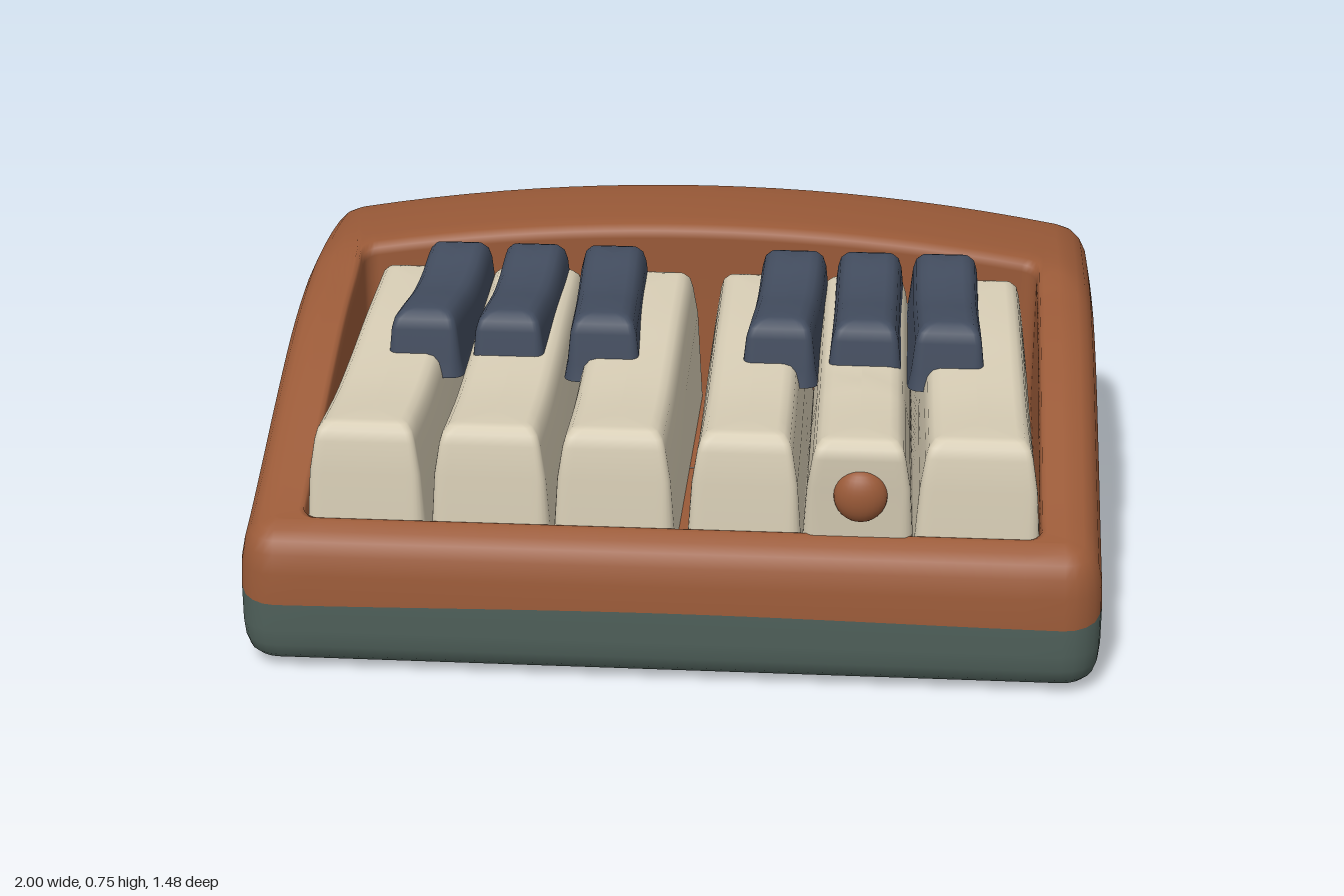
import * as THREE from 'three';

const mat = (name, color) => {
  const m = new THREE.MeshStandardMaterial({ color });
  m.name = name;
  return m;
};

// Smooth curve through [z, y] points listed with falling z
function profile(pts) {
  const slope = (i) => {
    const a = pts[Math.max(i - 1, 0)], b = pts[Math.min(i + 1, pts.length - 1)];
    return (b[1] - a[1]) / (b[0] - a[0]);
  };
  return (z) => {
    z = Math.min(Math.max(z, pts[pts.length - 1][0]), pts[0][0]);
    let i = 0;
    while (i < pts.length - 2 && z < pts[i + 1][0]) i++;
    const [za, ya] = pts[i], [zb, yb] = pts[i + 1];
    const h = zb - za, t = (z - za) / h, t2 = t * t, t3 = t2 * t;
    return (2 * t3 - 3 * t2 + 1) * ya + (t3 - 2 * t2 + t) * h * slope(i)
      + (3 * t2 - 2 * t3) * yb + (t3 - t2) * h * slope(i + 1);
  };
}

// Rounded rectangle outline, anticlockwise from above, as [x, z] pairs
function outline({ x0, x1, z0, z1, r }, inset = 0, side = 20, corner = 5) {
  x0 += inset; x1 -= inset; z0 += inset; z1 -= inset;
  r = Math.max(0, Math.min(Math.max(r - inset, 0.015), (x1 - x0) / 2, (z1 - z0) / 2));
  const centres = [[x1 - r, z0 + r], [x0 + r, z0 + r], [x0 + r, z1 - r], [x1 - r, z1 - r]];
  const pts = [];
  centres.forEach(([cx, cz], k) => {
    for (let j = 0; j <= corner; j++) {
      const a = (k + j / corner) * Math.PI / 2;
      pts.push([cx + r * Math.cos(a), cz - r * Math.sin(a)]);
    }
    const [px, pz] = pts[pts.length - 1];
    const [nx, nz] = centres[(k + 1) % 4];
    const e = (k + 1) * Math.PI / 2;
    const qx = nx + r * Math.cos(e), qz = nz - r * Math.sin(e);
    for (let j = 1; j < side; j++) {
      pts.push([px + (qx - px) * j / side, pz + (qz - pz) * j / side]);
    }
  });
  return pts;
}

const ring = (pts, y) => pts.map(([x, z]) => [x, y(x, z), z]);

// Skin over a stack of closed rings
function loft(rings) {
  const n = rings[0].length, index = [];
  for (let i = 0; i < rings.length - 1; i++) {
    for (let j = 0; j < n; j++) {
      const k = (j + 1) % n;
      const a = i * n + j, b = i * n + k, c = b + n, d = a + n;
      index.push(a, b, c, a, c, d);
    }
  }
  const g = new THREE.BufferGeometry();
  g.setAttribute('position', new THREE.Float32BufferAttribute(rings.flat(2), 3));
  g.setIndex(index);
  g.computeVertexNormals();
  return g;
}

export function createModel() {
  const brown = mat('clay brown', 0x9a5a38);
  const teal = mat('grey green', 0x4f605a);
  const cream = mat('cream', 0xd6ccb4);
  const navy = mat('slate blue', 0x424c5e);

  const model = new THREE.Group();
  model.name = 'toyKeyboard';
  const add = (name, geometry, material, parent = model) => {
    const m = new THREE.Mesh(geometry, material);
    m.name = name;
    parent.add(m);
    return m;
  };

  // Body outlines and heights
  const foot = { x0: -1, x1: 1, z0: -0.74, z1: 0.74, r: 0.09 };
  const opening = { x0: -0.85, x1: 0.855, z0: -0.295, z1: 0.65, r: 0.04 };
  const sideTop = profile([[0.74, 0.35], [0.65, 0.36], [0.5, 0.412], [0.2, 0.53], [0, 0.6],
    [-0.15, 0.635], [-0.28, 0.65], [-0.5, 0.647], [-0.74, 0.622]]);
  const split = profile([[0.74, 0.18], [0.4, 0.25], [0, 0.315], [-0.4, 0.33], [-0.74, 0.27]]);
  const top = (x, z) => sideTop(z)
    + 0.1 * (1 - x * x) * THREE.MathUtils.smoothstep(-z, 0.18, 0.3);
  const floor = (z) => 0.012 * (z + 0.74);
  const seam = (x, z) => split(z) + 0.006 * Math.cos(x * 3) * (z > 0.7 ? 1 : 0);

  // Lower shell with rounded bottom edge
  const base = [[0.74, 0], [0.1, 0], [0.055, 0], [0.03, 0.008], [0.014, 0.022], [0.004, 0.05], [0, 0.09]]
    .map(([inset, y]) => ring(outline(foot, inset), (x, z) => floor(z) + y));
  base.push(ring(outline(foot), seam));
  add('lowerShell', loft(base), teal);

  // Upper shell: wall, rounded rim, sloping top, then the key well
  const upper = [ring(outline(foot), seam)];
  [[0.003, 0.1], [0.012, 0.055], [0.027, 0.026], [0.048, 0.009], [0.08, 0]].forEach(([inset, drop]) =>
    upper.push(ring(outline(foot, inset), (x, z) => top(x, z) - drop)));
  const rim = outline(foot, 0.08), hole = outline(opening);
  [0.2, 0.4, 0.6, 0.8, 0.95].forEach((t) => upper.push(ring(
    rim.map(([x, z], i) => [x + (hole[i][0] - x) * t, z + (hole[i][1] - z) * t]), top)));
  upper.push(ring(hole, (x, z) => top(x, z) - 0.012));
  upper.push(ring(outline(opening, 0.003), (x, z) => top(x, z) - 0.03));
  upper.push(ring(outline(opening, 0.004), () => 0.31));
  upper.push(ring(outline(opening, 0.01), () => 0.3));
  upper.push(ring(outline(opening, 0.47), () => 0.3));
  add('upperShell', loft(upper), brown);

  // Tapered key with soft edges; lean pushes the top of its front face along z
  function keyGeometry(x0, x1, z0, z1, bottom, height, taper, lean, warp) {
    const steps = [[0, null], [taper * 0.5, 0.12], [taper, 0.045], [taper + 0.007, 0.02],
      [taper + 0.02, 0.005], [taper + 0.038, 0], [(x1 - x0) / 2, 0]];
    return loft(steps.map(([inset, drop], i) => {
      const box = { x0, x1, z0, z1: z1 + lean * Math.min(i / 2, 1), r: 0.03 };
      return outline(box, inset, 14, 4).map(([x, z]) =>
        [warp(x, z), drop === null ? bottom : Math.max(height(z) - drop, bottom + 0.01), z]);
    }));
  }

  // Cream keys
  const creamTop = profile([[0.65, 0.59], [0.4, 0.583], [0.2, 0.6], [0, 0.625], [-0.3, 0.65]]);
  const creamKeys = new THREE.Group();
  creamKeys.name = 'creamKeys';
  model.add(creamKeys);
  [[-0.845, -0.563], [-0.555, -0.273], [-0.27, 0.015], [0.04, 0.307], [0.305, 0.565], [0.562, 0.855]]
    .forEach(([x0, x1], i) => {
      const marked = i === 4;
      const height = (z) => creamTop(z) + (marked && z > 0.3 ? 0.01 : 0);
      add('creamKey' + (i + 1), keyGeometry(x0, x1, -0.3, 0.655, 0.3, height, 0.024,
        marked ? 0.045 : 0, (x, z) => x * (1 - 0.03 * (0.65 - z))), cream, creamKeys);
    });

  // Dark keys resting between them
  const darkTop = profile([[0.22, 0.702], [0.1, 0.697], [0, 0.69], [-0.1, 0.697], [-0.2, 0.715], [-0.3, 0.715]]);
  const darkKeys = new THREE.Group();
  darkKeys.name = 'darkKeys';
  model.add(darkKeys);
  [[-0.615, 0.02], [-0.415, 0.012], [-0.195, -0.01], [0.235, 0.012], [0.435, 0], [0.63, -0.008]]
    .forEach(([x, bend], i) => {
      add('darkKey' + (i + 1), keyGeometry(x - 0.095, x + 0.095, -0.285, 0.228, 0.54, darkTop, 0.016, 0,
        (px, z) => px + bend * Math.sin((0.1 - z) * 4)), navy, darkKeys);
    });

  // Round marker on the front of one key
  const marker = add('keyMarker', new THREE.SphereGeometry(0.062, 24, 16), brown);
  marker.scale.set(1, 1.05, 0.65);
  marker.position.set(0.44, 0.465, 0.662);

  return model;
}
